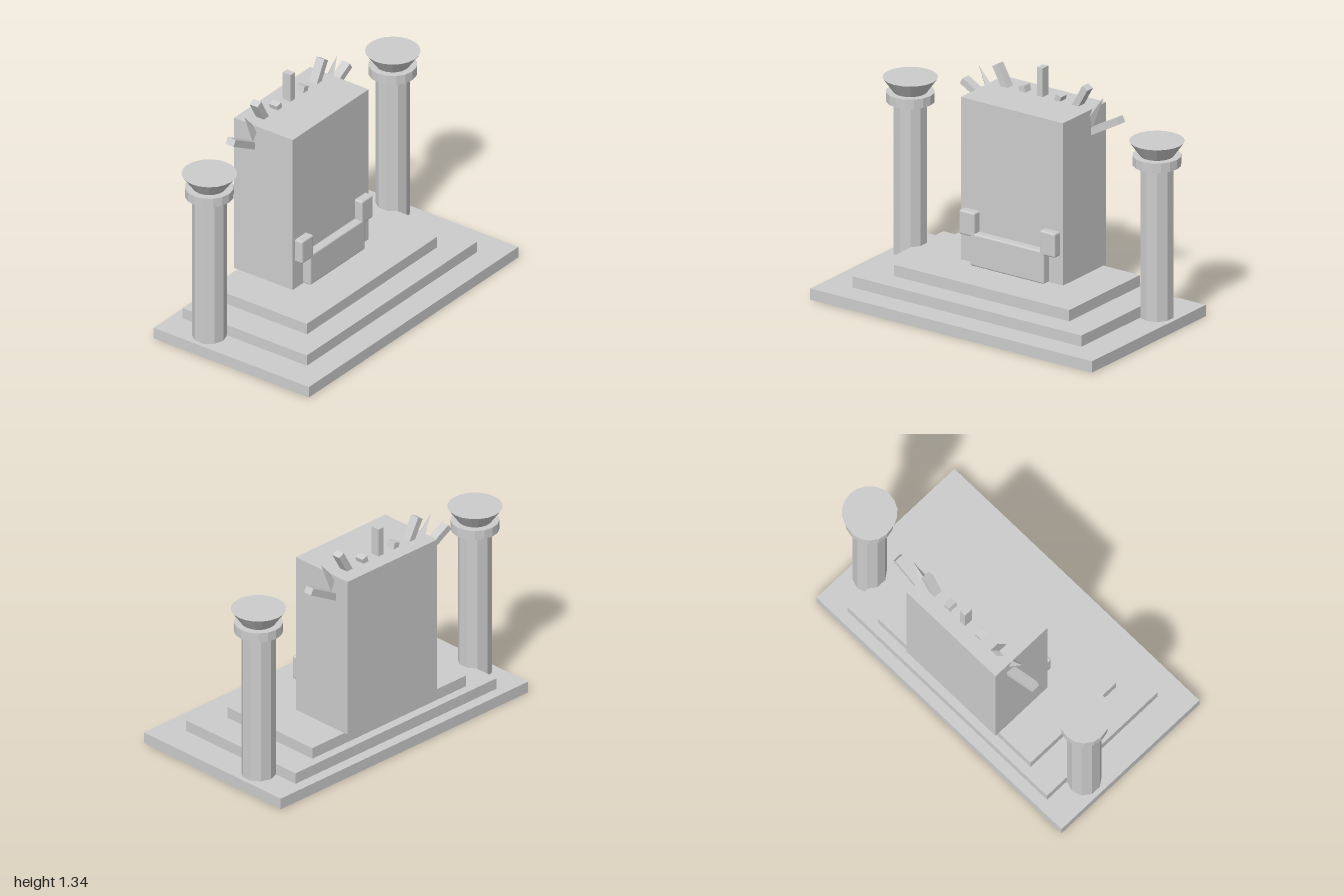
import * as THREE from 'three';
import { RoundedBoxGeometry } from 'three/addons/geometries/RoundedBoxGeometry.js';

export function createModel() {
  const model = new THREE.Group();
  model.name = 'throne';
  const stone = new THREE.MeshStandardMaterial({ color: 0xcccccc, flatShading: true });
  stone.name = 'stone';

  function add(name, geometry, x, y, z, parent = model) {
    const mesh = new THREE.Mesh(geometry, stone);
    mesh.name = name;
    mesh.position.set(x, y, z);
    parent.add(mesh);
    return mesh;
  }
  // Box given by its limits on each axis
  function block(name, x0, x1, y0, y1, z0, z1, radius = 0) {
    const size = [x1 - x0, y1 - y0, z1 - z0];
    const geometry = radius
      ? new RoundedBoxGeometry(...size, 2, radius)
      : new THREE.BoxGeometry(...size);
    return add(name, geometry, (x0 + x1) / 2, (y0 + y1) / 2, (z0 + z1) / 2);
  }

  // Stepped dais
  block('bottomStep', -0.965, 0.965, 0, 0.067, -0.54, 0.54);
  block('middleStep', -0.785, 0.785, 0.067, 0.133, -0.475, 0.39);
  block('topStep', -0.6, 0.6, 0.133, 0.2, -0.42, 0.25);

  // Throne body, seat and armrests
  block('throneBody', -0.35, 0.35, 0.2, 1.165, -0.445, -0.037);
  block('seat', -0.253, 0.253, 0.2, 0.393, -0.12, 0.013, 0.01);
  for (const s of [-1, 1]) {
    block(s > 0 ? 'leftArmrest' : 'rightArmrest',
      s * 0.275 - 0.053, s * 0.275 + 0.053, 0.372, 0.515, -0.12, 0.013, 0.01);
  }

  // Crown of rays: tip position, tilt from vertical in degrees, length
  function ray(name, x, y, tilt, length) {
    const a = THREE.MathUtils.degToRad(tilt);
    const mesh = add(name, new THREE.BoxGeometry(0.04, length, 0.055),
      x - Math.sin(a) * length / 2, y - Math.cos(a) * length / 2, -0.328);
    mesh.rotation.z = -a;
  }
  ray('centreRay', 0, 1.335, 0, 0.3);
  for (const s of [-1, 1]) {
    ray('shortRay', s * 0.127, 1.197, s * 15, 0.15);
    ray('longRay', s * 0.308, 1.281, s * 29, 0.3);
    ray('sideRay', s * 0.537, 1.138, s * 61, 0.35);

    // Pointed spike between the long and side rays
    const a = THREE.MathUtils.degToRad(32), length = 0.3;
    const spike = add('spike', new THREE.ConeGeometry(0.055, length, 4),
      s * (0.428 - Math.sin(a) * length / 2), 1.25 - Math.cos(a) * length / 2, -0.315);
    spike.rotation.z = -s * a;
  }

  // Flanking columns with collar and flared bowl
  for (const s of [-1, 1]) {
    const column = new THREE.Group();
    column.name = s > 0 ? 'leftColumn' : 'rightColumn';
    column.position.set(s * 0.845, 0, -0.243);
    model.add(column);
    add('shaft', new THREE.CylinderGeometry(0.097, 0.097, 0.91, 10), 0, 0.522, 0, column);
    add('collar', new THREE.CylinderGeometry(0.137, 0.137, 0.056, 16), 0, 0.997, 0, column);
    add('bowl', new THREE.CylinderGeometry(0.155, 0.095, 0.085, 20), 0, 1.0675, 0, column);
  }
  return model;
}
